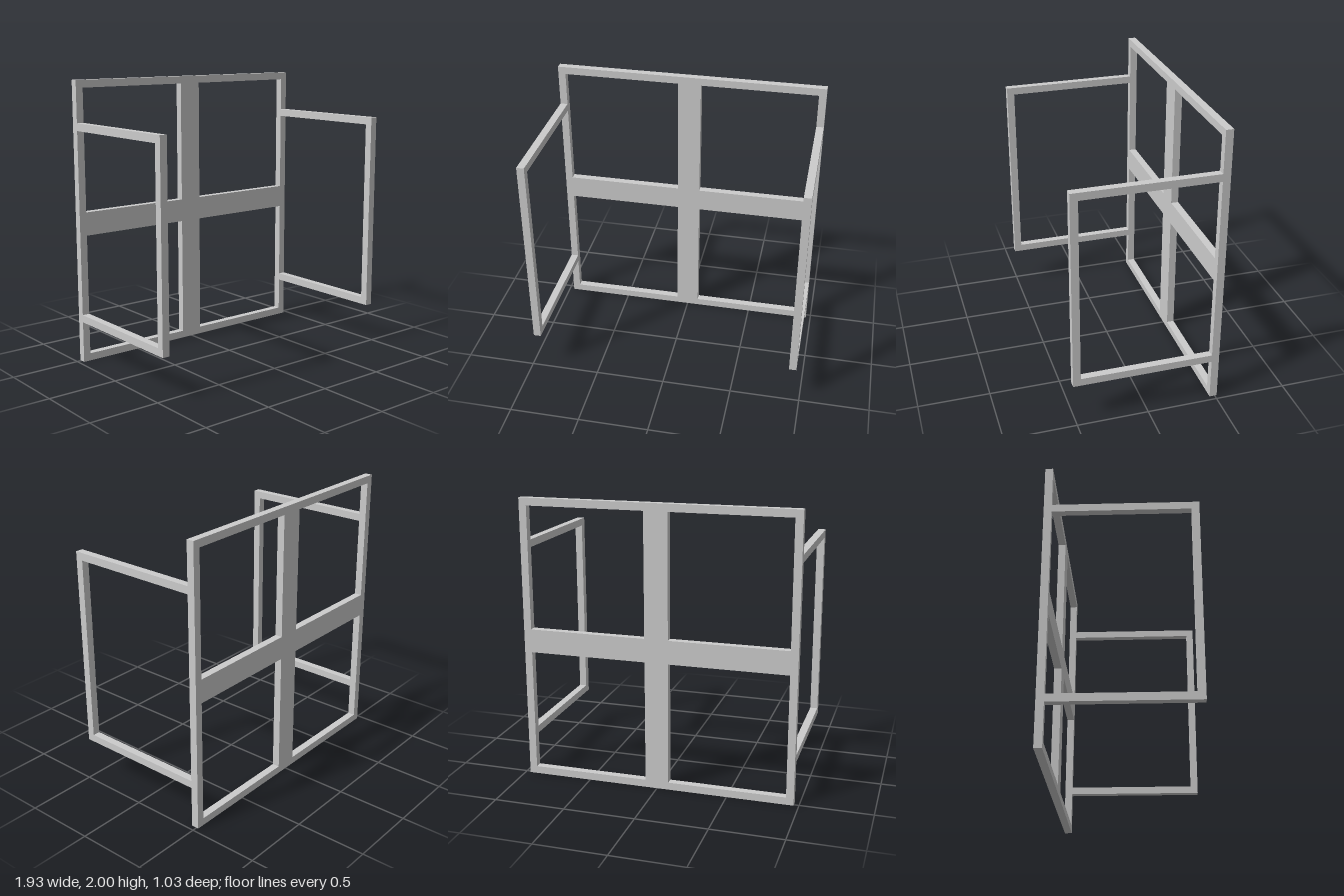
import * as THREE from 'three';

const W = 0.965;      // half width of the panel
const H = 2;          // panel height
const BAR = 0.053;    // bar thickness
const CROSS = 0.083;  // half width of the central cross
const BACK = -0.515, FRONT = 0.515;

const polygon = (Type, points) => new Type(points.map(([x, y]) => new THREE.Vector2(x, y)));
const rectangle = (Type, x0, y0, x1, y1) =>
  polygon(Type, [[x0, y0], [x1, y0], [x1, y1], [x0, y1]]);

export function createModel() {
  const group = new THREE.Group();
  const material = new THREE.MeshStandardMaterial({ color: 0xcccccc });
  const add = (name, geometry) => {
    const mesh = new THREE.Mesh(geometry, material);
    mesh.name = name;
    group.add(mesh);
  };
  const settings = { depth: BAR, bevelEnabled: false };

  // Back panel: one frame with a wide cross and four window openings
  const panel = rectangle(THREE.Shape, -W, 0, W, H);
  for (const [x0, x1] of [[BAR - W, -CROSS], [CROSS, W - BAR]]) {
    for (const [y0, y1] of [[BAR, H / 2 - CROSS], [H / 2 + CROSS, H - BAR]]) {
      panel.holes.push(rectangle(THREE.Path, x0, y0, x1, y1));
    }
  }
  add('backPanel', new THREE.ExtrudeGeometry(panel, settings).translate(0, 0, BACK));

  // Side frames: U-shaped brackets reaching forward from the panel edges
  const z0 = BACK + BAR, z1 = FRONT, y0 = 0.295, y1 = 1.708;
  const bracket = polygon(THREE.Shape, [
    [z0, y0], [z1, y0], [z1, y1], [z0, y1],
    [z0, y1 - BAR], [z1 - BAR, y1 - BAR], [z1 - BAR, y0 + BAR], [z0, y0 + BAR],
  ]);
  for (const [name, x] of [['leftSideFrame', W], ['rightSideFrame', BAR - W]]) {
    add(name, new THREE.ExtrudeGeometry(bracket, settings)
      .rotateY(-Math.PI / 2).translate(x, 0, 0));
  }

  return group;
}
